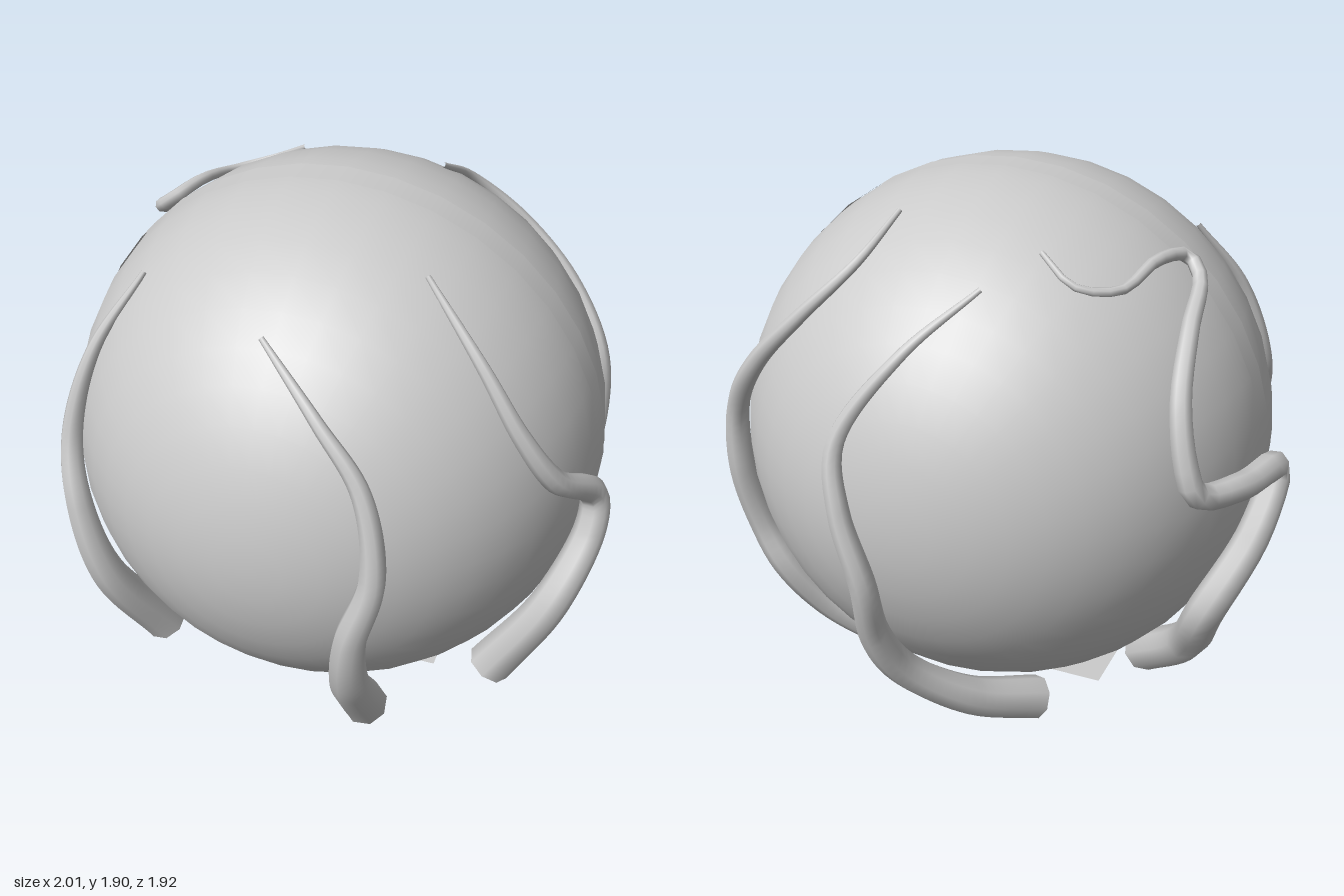
import * as THREE from 'three';

const CENTER = new THREE.Vector3(0.015, 1.0, 0.02);
const R = 0.91;
const SIDES = 8;
const STEPS = 60;
const mat = new THREE.MeshStandardMaterial({ color: 0xcccccc });
const thin = new THREE.MeshStandardMaterial({ color: 0xcccccc, side: THREE.DoubleSide });

// Tendril paths, each from thin tip to thick cut end
const TENDRILS = {
  frontRightTendril: [[-0.52, 1.65, 0.38], [-0.65, 1.4, 0.5], [-0.73, 1.1, 0.58], [-0.68, 0.88, 0.64],
    [-0.62, 0.6, 0.66], [-0.49, 0.27, 0.5]],
  frontLeftTendril: [[-0.02, 1.67, 0.65], [0.2, 1.5, 0.78], [0.35, 1.32, 0.83], [0.4, 1.05, 0.87],
    [0.35, 0.8, 0.92], [0.33, 0.58, 0.87], [0.32, 0.3, 0.67]],
  leftTendril: [[0.39, 1.78, 0.33], [0.62, 1.58, 0.46], [0.76, 1.38, 0.49], [0.85, 1.2, 0.43],
    [0.95, 1.04, 0.25], [0.93, 0.92, 0.27], [0.85, 0.7, 0.41], [0.7, 0.37, 0.45]],
  backLeftTendril: [[0.25, 1.82, -0.32], [0.32, 1.72, -0.52], [0.5, 1.55, -0.62], [0.68, 1.33, -0.58],
    [0.8, 1.1, -0.49], [0.83, 0.85, -0.47], [0.8, 0.6, -0.43], [0.74, 0.43, -0.42],
    [0.6, 0.24, -0.32], [0.36, 0.07, -0.18]],
  backTendril: [[-0.13, 1.69, -0.55], [0.05, 1.52, -0.73], [0.22, 1.25, -0.84], [0.2, 1.05, -0.92],
    [0.13, 0.8, -0.95], [0.13, 0.55, -0.87], [0.08, 0.38, -0.76], [-0.08, 0.22, -0.57], [-0.25, 0.09, -0.37]],
  rightTendril: [[-0.26, 1.78, -0.39], [-0.38, 1.7, -0.43], [-0.5, 1.68, -0.35], [-0.54, 1.7, -0.15],
    [-0.6, 1.68, -0.02], [-0.65, 1.63, -0.06], [-0.67, 1.53, -0.25], [-0.7, 1.37, -0.41], [-0.75, 1.2, -0.47],
    [-0.79, 1.1, -0.46], [-0.88, 1.06, -0.28], [-0.95, 1.03, -0.07], [-0.94, 0.84, -0.2],
    [-0.85, 0.6, -0.34], [-0.7, 0.35, -0.15], [-0.5, 0.17, 0.0]],
};

// Tapered tube lying on the ball, with a flat cap at its thick end
function tendril(name, pts) {
  const path = pts.map((p, i) => {
    const t = i / (pts.length - 1);
    const lift = 0.01 + 0.04 * t + 0.05 * t * t;
    return new THREE.Vector3(...p).sub(CENTER).setLength(R + lift).add(CENTER);
  });
  const curve = new THREE.CatmullRomCurve3(path);
  const tube = new THREE.TubeGeometry(curve, STEPS, 1, SIDES);
  const pos = tube.attributes.position;
  const v = new THREE.Vector3();
  const ring = [];
  const end = curve.getPointAt(1);
  for (let i = 0; i <= STEPS; i++) {
    const c = curve.getPointAt(i / STEPS);
    const r = 0.009 + 0.068 * (i / STEPS);
    for (let j = 0; j <= SIDES; j++) {
      const k = i * (SIDES + 1) + j;
      v.fromBufferAttribute(pos, k).sub(c).multiplyScalar(r).add(c);
      pos.setXYZ(k, v.x, v.y, v.z);
      if (i === STEPS) ring.push(v.clone());
    }
  }
  const fan = [];
  for (let j = 0; j < SIDES; j++) fan.push(end, ring[j], ring[j + 1]);
  const cap = new THREE.BufferGeometry().setFromPoints(fan);
  cap.computeVertexNormals();

  const group = new THREE.Group();
  group.name = name;
  const body = new THREE.Mesh(tube, mat);
  body.name = 'tendrilBody';
  const capMesh = new THREE.Mesh(cap, thin);
  capMesh.name = 'tendrilEnd';
  group.add(body, capMesh);
  return group;
}

export function createModel() {
  const model = new THREE.Group();
  const add = (name, geometry, material) => {
    const mesh = new THREE.Mesh(geometry, material);
    mesh.name = name;
    model.add(mesh);
    return mesh;
  };

  // Ball with its poles at front and back
  add('ball', new THREE.SphereGeometry(R, 36, 24).rotateX(Math.PI / 2), mat).position.copy(CENTER);

  // Narrow band around the middle seam
  add('seamBand', new THREE.CylinderGeometry(R + 0.002, R + 0.002, 0.1, 36, 1, true).rotateX(Math.PI / 2), thin)
    .position.copy(CENTER);

  // Thin base sheet whose corners stick out under the ball
  add('baseSheet', new THREE.PlaneGeometry(0.96, 0.76).rotateX(-Math.PI / 2), thin).position.set(0, 0.25, 0);

  for (const [name, pts] of Object.entries(TENDRILS)) model.add(tendril(name, pts));
  return model;
}
